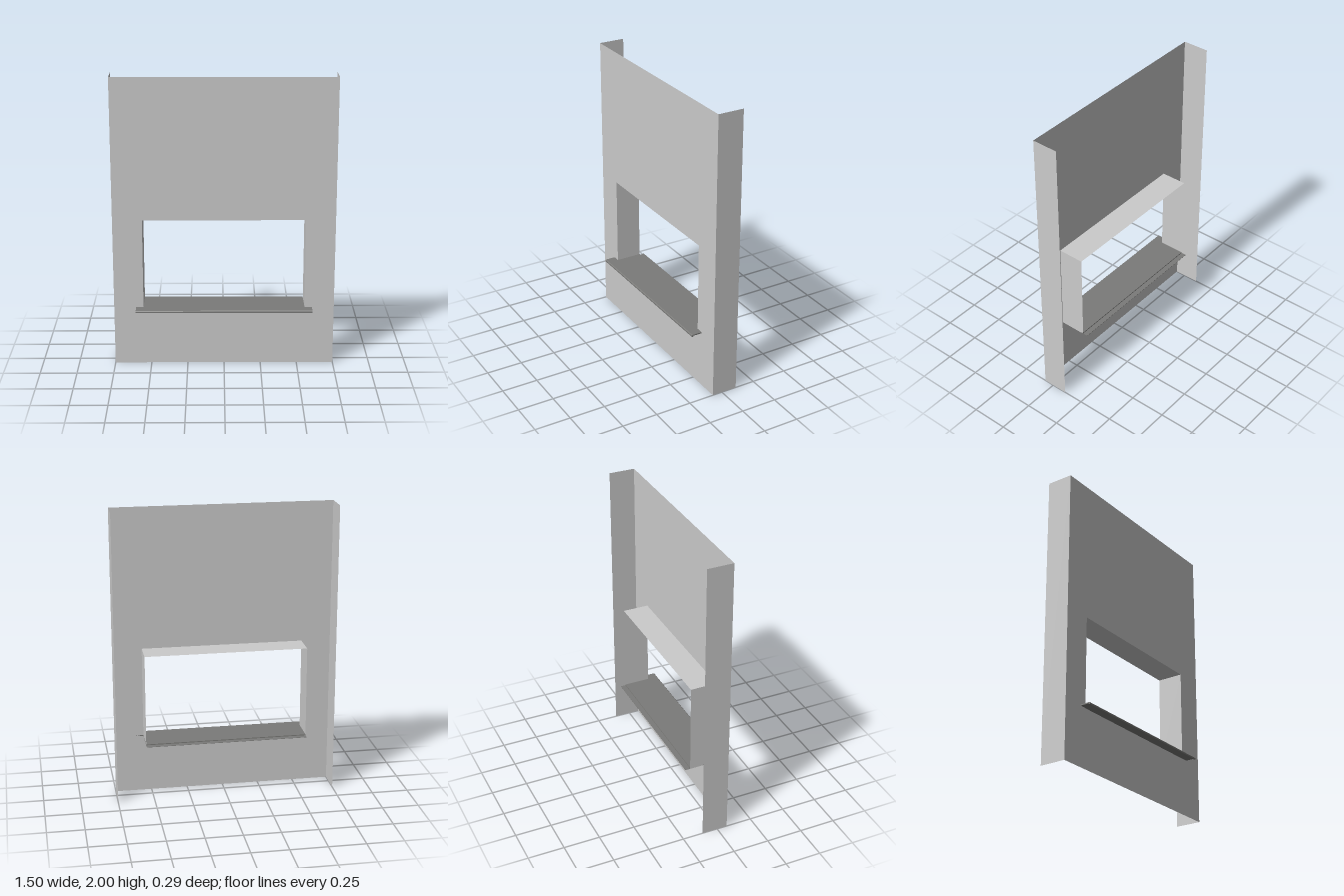
import * as THREE from 'three';

const FRONT = 0.071, BACK = -0.109, DEPTH = FRONT - BACK;
const HALF_W = 0.75, HEIGHT = 2;
const OPEN_X = 0.55, OPEN_BOTTOM = 0.4, OPEN_TOP = 1.03;

export function createModel() {
  const group = new THREE.Group();
  const wallMat = new THREE.MeshStandardMaterial({ color: 0xcccccc, side: THREE.DoubleSide });
  const sillMat = new THREE.MeshStandardMaterial({ color: 0x7b7b79, side: THREE.DoubleSide });

  const add = (name, geometry, material, x = 0, y = 0, z = 0) => {
    const mesh = new THREE.Mesh(geometry, material);
    mesh.name = name;
    mesh.position.set(x, y, z);
    group.add(mesh);
    return mesh;
  };

  // Thin front sheet with the window opening
  const sheet = new THREE.Shape([
    new THREE.Vector2(-HALF_W, 0), new THREE.Vector2(HALF_W, 0),
    new THREE.Vector2(HALF_W, HEIGHT), new THREE.Vector2(-HALF_W, HEIGHT),
  ]);
  sheet.holes.push(new THREE.Path([
    new THREE.Vector2(-OPEN_X, OPEN_BOTTOM), new THREE.Vector2(-OPEN_X, OPEN_TOP),
    new THREE.Vector2(OPEN_X, OPEN_TOP), new THREE.Vector2(OPEN_X, OPEN_BOTTOM),
  ]));
  add('wallFront', new THREE.ShapeGeometry(sheet), wallMat, 0, 0, FRONT);

  // Wall ends and window jambs, mirrored
  const midZ = (FRONT + BACK) / 2;
  const openH = OPEN_TOP - OPEN_BOTTOM;
  for (const [side, s] of [['left', 1], ['right', -1]]) {
    add(side + 'WallEnd', new THREE.PlaneGeometry(DEPTH, HEIGHT).rotateY(s * Math.PI / 2),
      wallMat, s * HALF_W, HEIGHT / 2, midZ);
    add(side + 'Jamb', new THREE.PlaneGeometry(DEPTH, openH).rotateY(-s * Math.PI / 2),
      wallMat, s * OPEN_X, OPEN_BOTTOM + openH / 2, midZ);
  }

  // Underside of the lintel
  add('lintel', new THREE.PlaneGeometry(2 * OPEN_X, DEPTH).rotateX(Math.PI / 2),
    wallMat, 0, OPEN_TOP, midZ);

  // Sill board inside the opening, with a thin tail behind the jambs
  add('sillBoard', new THREE.BoxGeometry(2 * OPEN_X, 0.008, DEPTH), sillMat, 0, 0.405, midZ);
  add('sillTail', new THREE.BoxGeometry(2 * OPEN_X, 0.002, 0.036), sillMat, 0, 0.402, BACK - 0.018);

  // Projecting sill nose with a turned-down drip edge: profile in (z, y)
  const nose = new THREE.Shape([
    [FRONT, 0.401], [0.135, 0.401], [0.137, 0.394], [0.145, 0.394],
    [0.145, 0.404], [0.140, 0.409], [FRONT, 0.409],
  ].map(([z, y]) => new THREE.Vector2(z, y)));
  const noseGeo = new THREE.ExtrudeGeometry(nose, { depth: 1.2, bevelEnabled: false });
  noseGeo.translate(0, 0, -0.6).rotateY(-Math.PI / 2);
  add('sillNose', noseGeo, sillMat);

  return group;
}
